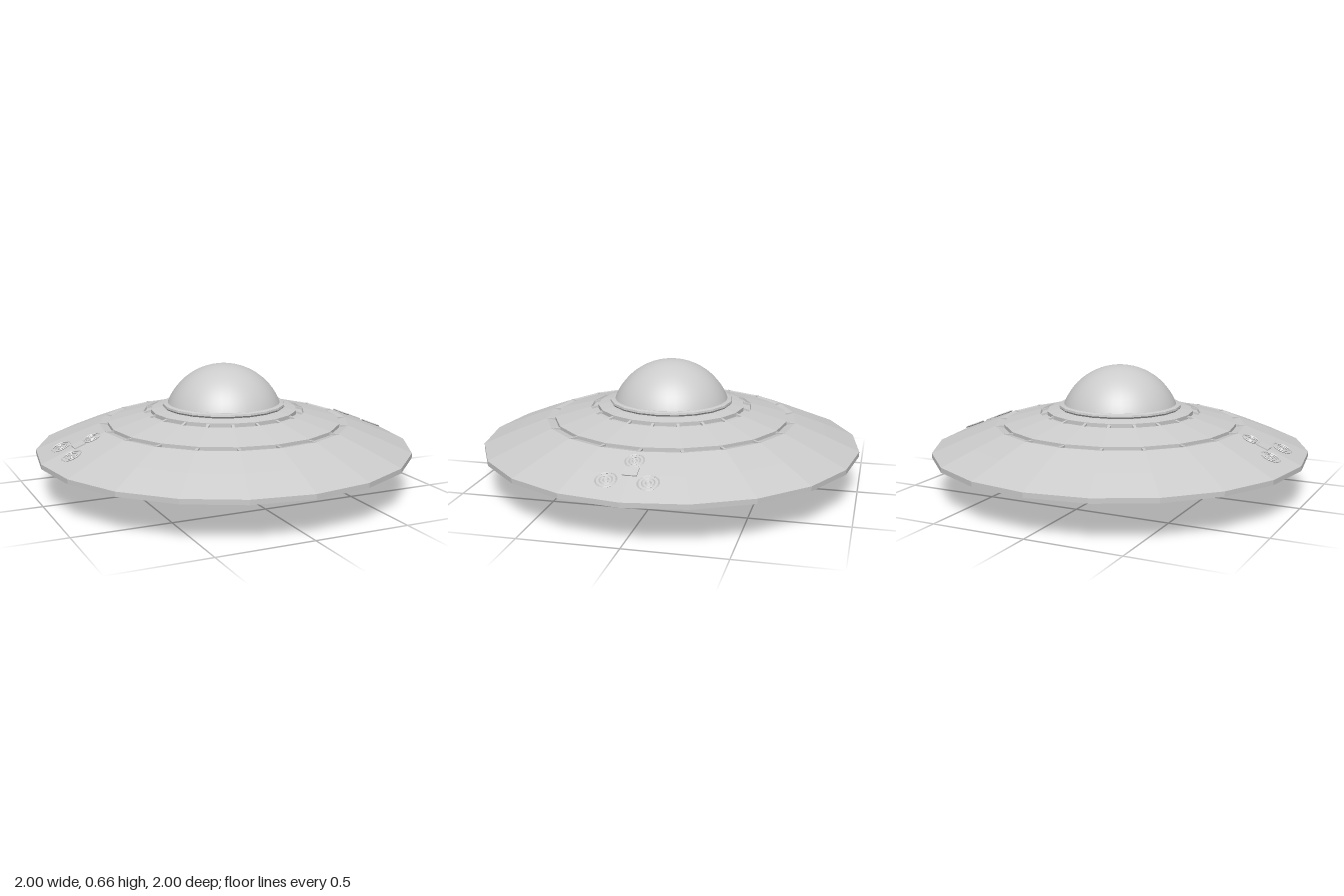
import * as THREE from 'three';

const SIDES = 20;
const STEP = (Math.PI * 2) / SIDES;
const flat = new THREE.MeshStandardMaterial({ color: 0xcccccc, flatShading: true, side: THREE.DoubleSide });
const smooth = new THREE.MeshStandardMaterial({ color: 0xcccccc });

const points = (list) => list.map(([r, y]) => new THREE.Vector2(r, y));

function add(parent, name, geometry, material = flat) {
  const mesh = new THREE.Mesh(geometry, material);
  mesh.name = name;
  parent.add(mesh);
  return mesh;
}

// Revolved profile, listed from the underside centre outwards and up
const lathe = (profile, segments = SIDES, start = 0, length = Math.PI * 2) =>
  new THREE.LatheGeometry(points(profile), segments, start, length);

// Alternating flush and sunken wedges between the belly ring and the rim
function createUnderside() {
  const underside = new THREE.Group();
  underside.name = 'underside';
  const sunken = [[0.32, 0], [0.32, 0.03], [0.88, 0.19], [0.98, 0.19], [1, 0.195]];
  const flush = [[0.32, 0], [1, 0.195]];
  const wall = new THREE.ShapeGeometry(new THREE.Shape(points([[0.32, 0], [0.98, 0.19], [0.88, 0.19], [0.32, 0.03]])));
  for (let i = 0; i < SIDES; i++) {
    const isSunken = i % 2 === 0;
    add(underside, isSunken ? 'sunkenPanel' : 'flushPanel', lathe(isSunken ? sunken : flush, 1, i * STEP, STEP));
    add(underside, 'panelWall', wall).rotation.y = i * STEP - Math.PI / 2;
  }
  // Hollow cone in the middle of the belly
  add(underside, 'bellyCone', lathe([[0, 0.12], [0.32, 0]]));
  return underside;
}

// Small ribs bridging a groove at every corner of the hull
function addGrooveRibs(parent, radius, y, length, slope) {
  for (let i = 0; i < SIDES; i++) {
    const pivot = new THREE.Group();
    pivot.name = 'grooveRib';
    pivot.rotation.y = i * STEP;
    const rib = add(pivot, 'rib', new THREE.BoxGeometry(length, 0.01, 0.014));
    rib.position.set(radius, y, 0);
    rib.rotation.z = slope;
    parent.add(pivot);
  }
}

// Cluster of three ringed ports lying on the sloping hull
function createPortCluster() {
  const cluster = new THREE.Group();
  cluster.name = 'portCluster';
  const plate = new THREE.Group();
  plate.name = 'portPlate';
  plate.position.set(0.82, 0.296, 0);
  plate.rotation.z = -0.39;
  for (const [x, z, size] of [[0.055, 0.1, 0.05], [0.055, -0.1, 0.05], [-0.09, 0, 0.045]]) {
    for (const scale of [1, 0.6, 0.25]) {
      const ring = add(plate, 'portRing', new THREE.TorusGeometry(size * scale, 0.004, 4, 16));
      ring.rotation.x = Math.PI / 2;
      ring.position.set(x, 0, z);
    }
  }
  add(plate, 'portBridge', new THREE.BoxGeometry(0.06, 0.006, 0.07)).position.x = -0.015;
  cluster.add(plate);
  return cluster;
}

export function createModel() {
  const saucer = new THREE.Group();
  saucer.name = 'saucer';
  saucer.add(createUnderside());

  // Rim band and sloping outer hull, ending in a groove
  add(saucer, 'rimBand', lathe([[1, 0.195], [1, 0.22]]));
  add(saucer, 'outerHull', lathe([[1, 0.22], [0.83, 0.29], [0.665, 0.353], [0.62, 0.343]]));
  addGrooveRibs(saucer, 0.64, 0.35, 0.045, 0);

  // Raised upper deck with a second groove around the dome seat
  add(saucer, 'upperDeck', lathe([[0.62, 0.343], [0.62, 0.36], [0.43, 0.411], [0.425, 0.4], [0.39, 0.402]]));
  addGrooveRibs(saucer, 0.41, 0.409, 0.04, -0.25);
  add(saucer, 'domeSeat', lathe([[0.39, 0.402], [0.39, 0.422], [0.335, 0.433], [0.32, 0.433]]));
  add(saucer, 'domeCollar', lathe([[0.32, 0.433], [0.327, 0.442], [0.325, 0.452], [0.31, 0.457], [0.295, 0.455]]));

  // Smooth dome cap
  const dome = add(saucer, 'dome', new THREE.SphereGeometry(0.322, 40, 14, 0, Math.PI * 2, 0, 1.23), smooth);
  dome.position.y = 0.338;

  // Port clusters on both sides
  for (const turn of [0, Math.PI]) {
    const cluster = createPortCluster();
    cluster.rotation.y = turn;
    saucer.add(cluster);
  }
  return saucer;
}
